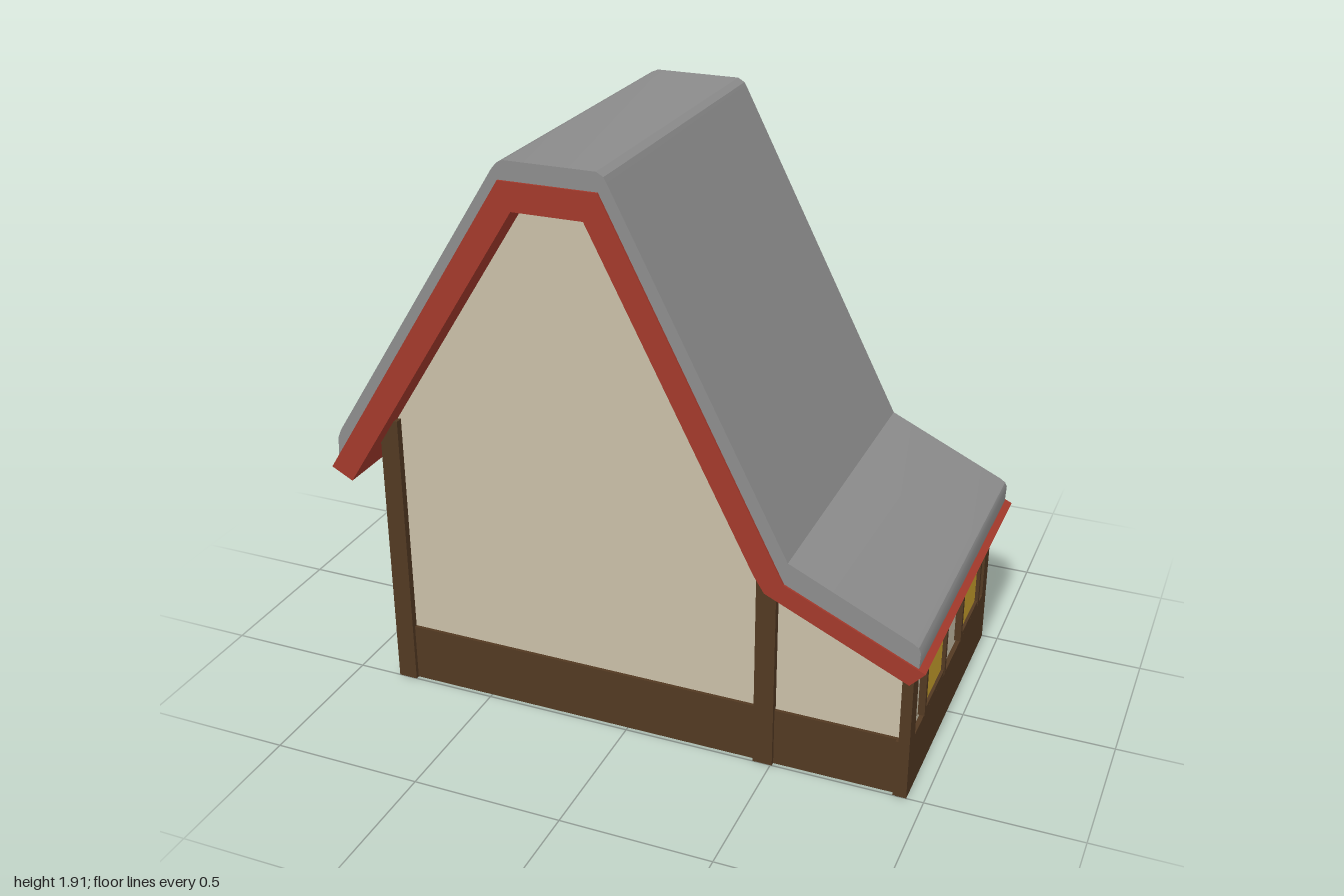
import * as THREE from 'three';
import { toCreasedNormals } from 'three/addons/utils/BufferGeometryUtils.js';

const mat = (name, color) => new THREE.MeshStandardMaterial({ name, color });

export function createModel() {
  const house = new THREE.Group();
  house.name = 'house';
  const plaster = mat('cream plaster', 0xc9bfa8);
  const timber = mat('dark timber', 0x523922);
  const trim = mat('red trim', 0xa3392b);
  const slate = mat('grey roofing', 0x8c8c8c);
  const glass = mat('golden glass', 0xc9a02c);
  const doorWood = mat('door wood', 0x9f7141);

  // Box given by its minimum and maximum corners
  const box = (name, material, a, b, parent = house) => {
    const g = new THREE.BoxGeometry(b[0] - a[0], b[1] - a[1], b[2] - a[2]);
    const m = new THREE.Mesh(g, material);
    m.position.set((a[0] + b[0]) / 2, (a[1] + b[1]) / 2, (a[2] + b[2]) / 2);
    m.name = name;
    parent.add(m);
    return m;
  };

  // Profile in x and y, extruded from z0 to z1
  const extrude = (name, material, points, z0, z1) => {
    const shape = new THREE.Shape(points.map(p => new THREE.Vector2(...p)));
    let g = new THREE.ExtrudeGeometry(shape, { depth: z1 - z0, bevelEnabled: false });
    g.translate(0, 0, z0);
    g = toCreasedNormals(g, 0.5);
    const m = new THREE.Mesh(g, material);
    m.name = name;
    house.add(m);
  };

  // Roof: red slab with a thicker grey covering on top
  extrude('roofTrim', trim, [
    [-0.997, 0.808], [-0.925, 0.77], [-0.305, 1.76], [-0.075, 1.76], [0.455, 0.725],
    [0.49, 0.67], [0.948, 0.46], [0.995, 0.51], [0.55, 0.712], [-0.03, 1.85], [-0.345, 1.85],
  ], -0.572, 0.57);
  extrude('roofCovering', slate, [
    [-0.972, 0.835], [-0.34, 1.84], [-0.035, 1.84], [0.545, 0.705], [0.972, 0.51],
    [0.975, 0.575], [0.968, 0.59], [0.95, 0.602], [0.56, 0.785], [0, 1.875], [-0.012, 1.897],
    [-0.035, 1.91], [-0.325, 1.91], [-0.348, 1.9], [-0.365, 1.88], [-0.955, 0.945], [-0.968, 0.915],
  ], -0.563, 0.563);

  // Gable walls
  const gable = [[-0.82, 0.01], [0.93, 0.01], [0.93, 0.5], [0.5, 0.7], [-0.05, 1.8], [-0.325, 1.8], [-0.82, 1.0]];
  extrude('frontWall', plaster, gable, 0.45, 0.475);
  extrude('backWall', plaster, gable, -0.475, -0.45);

  // Side walls
  box('leftWall', plaster, [-0.82, 0.01, -0.46], [-0.8, 0.98, 0.46]);
  box('rightWall', plaster, [0.91, 0.01, -0.46], [0.93, 0.49, 0.46]);

  // Timber base and posts, mirrored front to back
  for (const s of [1, -1]) {
    const span = (n, f) => (s > 0 ? [n, f] : [-f, -n]);
    const [b0, b1] = span(0.44, 0.486);
    box('baseBeam', timber, [-0.83, 0, b0], [0.94, 0.2, b1]);
    const [p0, p1] = span(0.44, 0.5);
    for (const [x0, x1, top] of [[-0.85, -0.785, 0.975], [0.44, 0.505, 0.745], [0.91, 0.945, 0.485]]) {
      box('post', timber, [x0, 0, p0], [x1, top, p1]);
    }
  }
  box('leftBaseBeam', timber, [-0.838, 0, -0.45], [-0.79, 0.2, 0.45]);
  box('rightBaseBeam', timber, [0.9, 0, -0.498], [0.945, 0.2, 0.498]);

  // Framed window facing +z
  const makeWindow = (name, w, h) => {
    const win = new THREE.Group();
    win.name = name;
    const t = 0.018;
    box('pane', glass, [-w / 2 + 0.005, -h / 2 + 0.005, 0.002], [w / 2 - 0.005, h / 2 - 0.005, 0.01], win);
    for (const s of [-1, 1]) {
      const x = s * (w - t) / 2, y = s * (h - t) / 2;
      box('frameSide', timber, [x - t / 2, -h / 2, 0], [x + t / 2, h / 2, 0.022], win);
      box('frameRail', timber, [-w / 2 + t, y - t / 2, 0], [w / 2 - t, y + t / 2, 0.02], win);
    }
    house.add(win);
    return win;
  };
  for (const s of [1, -1]) {
    const w = makeWindow('sideWindow', 0.26, 0.228);
    w.position.set(0.93, 0.33, s * 0.228);
    w.rotation.y = Math.PI / 2;
  }
  const gableWindow = makeWindow('backWindow', 0.3, 0.335);
  gableWindow.position.set(-0.19, 1.12, -0.475);
  gableWindow.rotation.y = Math.PI;

  // Door
  box('door', doorWood, [-0.48, 0.005, -0.51], [0.09, 0.56, -0.48]);

  return house;
}
